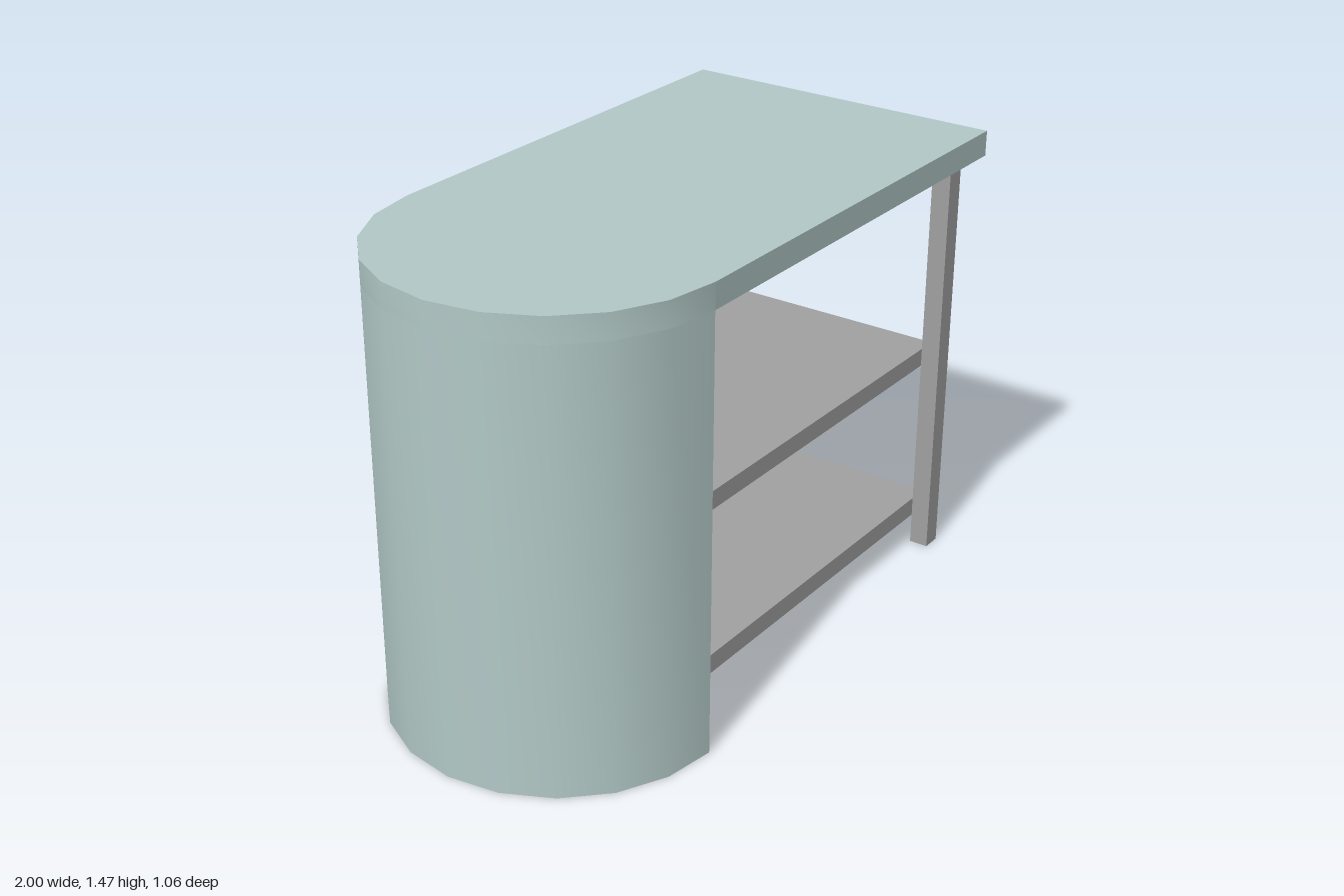
import * as THREE from 'three';
import { toCreasedNormals } from 'three/addons/utils/BufferGeometryUtils.js';

const R = 0.532, BEND = -0.468;  // outer radius, x where the curve starts
const T = 0.064, THIN = 0.03;    // thickness of the boards and of the rounded end
const TOP = 1.47, UNDER = 1.39;

const grey = new THREE.MeshStandardMaterial({ color: 0xa1a1a1 });
const teal = new THREE.MeshStandardMaterial({ color: 0xb2c9c7 });

// Half circle around the bend, from the back to the front
function arc(r) {
  return Array.from({ length: 11 }, (_, i) => {
    const a = Math.PI * (0.5 + i / 10);
    return new THREE.Vector2(BEND + r * Math.cos(a), r * Math.sin(a));
  });
}

// Upright extrusion of a plan outline; triangles passing isSkin are painted
function extrudePlan(name, points, y0, y1, isSkin) {
  let geo = new THREE.ExtrudeGeometry(new THREE.Shape(points), { depth: y1 - y0, bevelEnabled: false });
  geo.rotateX(-Math.PI / 2).translate(0, y0, 0);
  geo = toCreasedNormals(geo, 0.4);
  geo.clearGroups();
  const { position, normal } = geo.attributes;
  const tri = new THREE.Triangle(), n = new THREE.Vector3();
  for (let i = 0; i < position.count; i += 3) {
    tri.setFromAttributeAndIndices(position, i, i + 1, i + 2);
    tri.getNormal(n);
    // Straight sides stay flat; only the curve is smooth
    if (Math.abs(n.z) > 0.999) for (let k = i; k < i + 3; k++) normal.setXYZ(k, n.x, n.y, n.z);
    geo.addGroup(i, 3, isSkin(n, [tri.a, tri.b, tri.c]) ? 1 : 0);
  }
  const mesh = new THREE.Mesh(geo, [grey, teal]);
  mesh.name = name;
  return mesh;
}

// Box given by its limits on each axis
function board(name, [x0, x1], [y0, y1], [z0, z1]) {
  const mesh = new THREE.Mesh(new THREE.BoxGeometry(x1 - x0, y1 - y0, z1 - z0), grey);
  mesh.position.set((x0 + x1) / 2, (y0 + y1) / 2, (z0 + z1) / 2);
  mesh.name = name;
  return mesh;
}

const onOutside = (p) => (p.x > BEND ? Math.abs(p.z) : Math.hypot(p.x - BEND, p.z)) > R - 0.005;

export function createModel() {
  const group = new THREE.Group();
  group.name = 'counter';
  const v = (x, y) => new THREE.Vector2(x, y);

  // Countertop: painted on top and edge, plain below
  group.add(extrudePlan('countertop', [v(1, R), ...arc(R), v(1, -R)], UNDER, TOP, (n) => n.y > -0.5));

  // Back wall running into the thinner rounded end, painted outside only
  const wall = [v(1, R), ...arc(R), ...arc(R - THIN).reverse(), v(BEND, R - T), v(1, R - T)];
  group.add(extrudePlan('curvedWall', wall, 0, UNDER,
    (n, corners) => Math.abs(n.y) < 0.5 && corners.every(onOutside)));

  // Panel closing off the rounded end
  group.add(board('innerPanel', [BEND - THIN, BEND], [0, UNDER], [THIN - R, R - THIN]));

  // Front posts
  const postZ = [0.388, 0.451];
  group.add(board('rightPost', [BEND, BEND + 0.06], [0, UNDER], postZ));
  group.add(board('leftPost', [1 - T, 1], [0, UNDER], postZ));

  // Shelves
  group.add(board('lowerShelf', [BEND, 1], [0.102, 0.165], [T - R, postZ[0]]));
  group.add(board('upperShelf', [BEND, 1], [0.657, 0.717], [T - R, postZ[0]]));

  return group;
}
